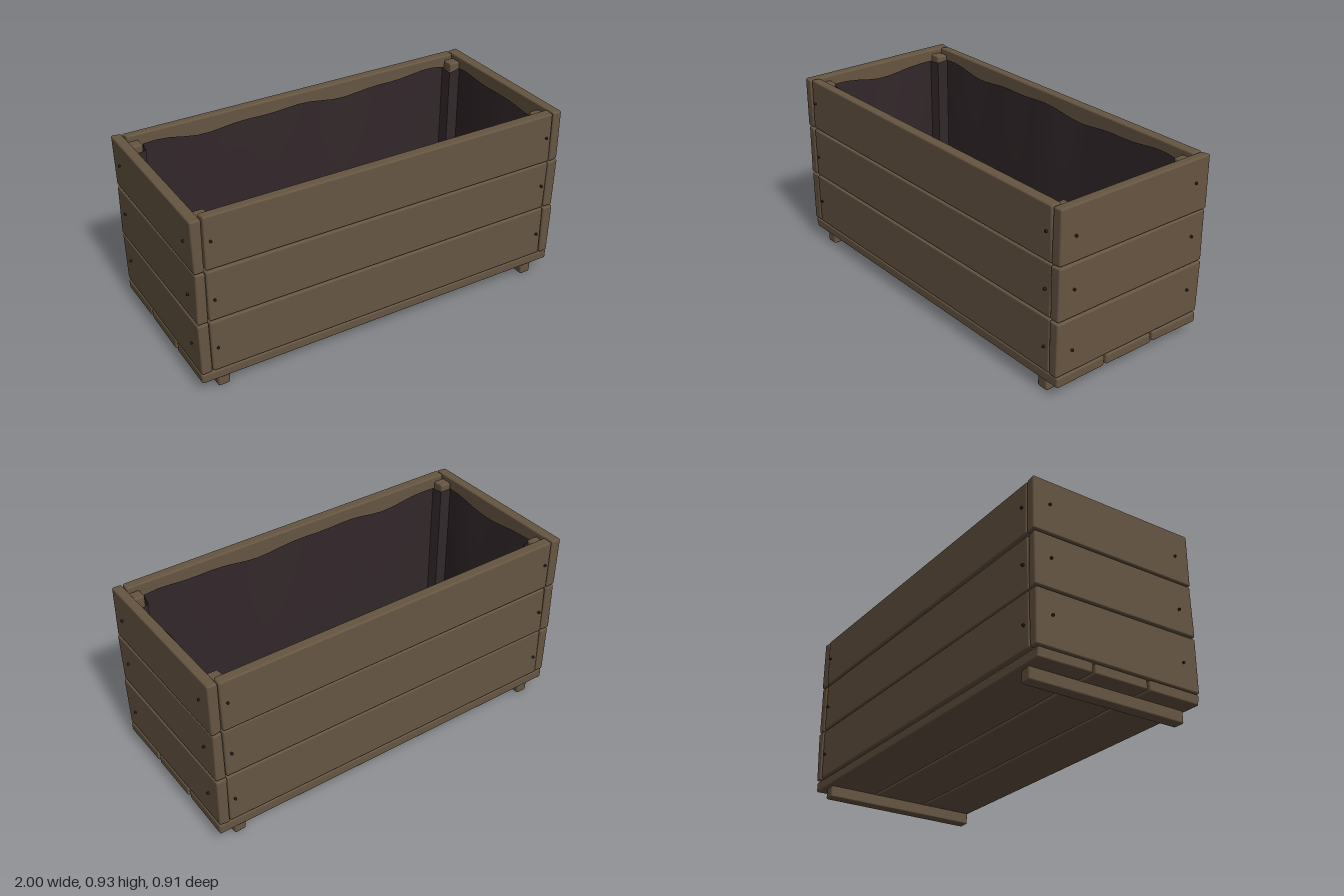
import * as THREE from 'three';
import { toCreasedNormals } from 'three/addons/utils/BufferGeometryUtils.js';
import { RoundedBoxGeometry } from 'three/addons/geometries/RoundedBoxGeometry.js';

const wood = new THREE.MeshStandardMaterial({ color: 0x665542 });
const lining = new THREE.MeshStandardMaterial({ color: 0x32272a, side: THREE.DoubleSide });
const metal = new THREE.MeshStandardMaterial({ color: 0x2a231d });
wood.name = 'weathered wood';
lining.name = 'dark lining';
metal.name = 'nail metal';

export function createModel() {
  const model = new THREE.Group();
  model.name = 'planterBox';

  let seed = 7;
  const rand = () => {
    seed = (seed * 16807) % 2147483647;
    return seed / 2147483647 - 0.5;
  };

  // Board given by its min and max corners, each corner nudged a little so it looks hand cut
  function board(name, x0, x1, y0, y1, z0, z1, wobble = 0.006) {
    const geo = new RoundedBoxGeometry(x1 - x0, y1 - y0, z1 - z0, 2, 0.009);
    const nudge = Array.from({ length: 8 }, () => [rand(), rand(), rand()]);
    const p = geo.attributes.position;
    for (let i = 0; i < p.count; i++) {
      const k = (p.getX(i) > 0 ? 1 : 0) + (p.getY(i) > 0 ? 2 : 0) + (p.getZ(i) > 0 ? 4 : 0);
      const n = nudge[k];
      p.setXYZ(i, p.getX(i) + n[0] * wobble, p.getY(i) + n[1] * wobble, p.getZ(i) + n[2] * wobble);
    }
    const mesh = new THREE.Mesh(geo, wood);
    mesh.name = name;
    mesh.position.set((x0 + x1) / 2, (y0 + y1) / 2, (z0 + z1) / 2);
    model.add(mesh);
  }

  // Nail head with its axis along x or z
  const nailGeo = new THREE.CylinderGeometry(0.006, 0.007, 0.014, 8);
  function nail(x, y, z, alongX) {
    const mesh = new THREE.Mesh(nailGeo, metal);
    mesh.name = 'nail';
    mesh.position.set(x, y, z);
    if (alongX) mesh.rotation.z = -Math.sign(x) * Math.PI / 2;
    else mesh.rotation.x = Math.sign(z) * Math.PI / 2;
    model.add(mesh);
  }

  // Three rows of wall boards
  const rows = [[0.119, 0.389], [0.395, 0.657], [0.663, 0.93]];
  for (const [y0, y1] of rows) {
    const mid = (y0 + y1) / 2;
    for (const s of [-1, 1]) {
      const zc = s * 0.417, xc = s * 0.965;
      board(s > 0 ? 'frontBoard' : 'backBoard', -0.936, 0.936, y0, y1, zc - 0.026, zc + 0.026);
      board(s > 0 ? 'leftEndBoard' : 'rightEndBoard', xc - 0.026, xc + 0.026, y0, y1, -0.444, 0.444);
      for (const t of [-1, 1]) {
        nail(s * 0.993, mid + rand() * 0.04, t * 0.36, true);
        nail(t * 0.905, mid + rand() * 0.04, s * 0.446, false);
      }
    }
  }

  // Floor slats and the two runners below them
  for (const [z0, z1] of [[-0.437, -0.152], [-0.14, 0.143], [0.156, 0.44]]) {
    board('floorSlat', -0.99, 0.99, 0.063, 0.115, z0, z1, 0.004);
  }
  for (const s of [-1, 1]) {
    board('runner', s * 0.875 - 0.03, s * 0.875 + 0.03, 0, 0.063, -0.42, 0.422, 0.003);
    // Corner posts
    for (const t of [-1, 1]) {
      board('cornerPost', s * 0.909 - 0.031, s * 0.909 + 0.031, 0.115, 0.905,
        t * 0.36 - 0.031, t * 0.36 + 0.031, 0.003);
    }
  }

  // Lining outline: a rectangle with a notch around each corner post
  const corners = [
    [0.928, -0.315], [0.928, 0.315], [0.87, 0.322], [0.862, 0.38],
    [-0.862, 0.38], [-0.87, 0.322], [-0.928, 0.315],
    [-0.928, -0.315], [-0.87, -0.322], [-0.862, -0.38],
    [0.862, -0.38], [0.87, -0.322],
  ];
  const outline = [];
  corners.forEach(([ax, az], i) => {
    const [bx, bz] = corners[(i + 1) % corners.length];
    const steps = Math.max(1, Math.round(Math.hypot(bx - ax, bz - az) / 0.07));
    for (let k = 0; k < steps; k++) {
      const t = k / steps;
      outline.push([ax + (bx - ax) * t, az + (bz - az) * t, Math.sin(Math.PI * t)]);
    }
  });

  // Rings from the wavy rim down to the floor, sagging inward along each wall
  const levels = 6, n = outline.length, pos = [], index = [];
  for (let l = 0; l <= levels; l++) {
    const d = l / levels;
    outline.forEach(([x, z, m], i) => {
      const wave = Math.sin(i * 0.55) + 0.6 * Math.sin(i * 1.13 + 1);
      const rim = 0.87 + 0.013 * wave;
      const sag = m * (0.012 + 0.022 * Math.sin(d * Math.PI / 2) + 0.006 * wave * (1 - d));
      const onEnd = Math.abs(x) > 0.9;
      pos.push(onEnd ? x - Math.sign(x) * sag : x, rim + (0.125 - rim) * d,
        onEnd ? z : z - Math.sign(z) * sag);
    });
  }
  pos.push(0, 0.125, 0);
  for (let i = 0; i < n; i++) {
    const j = (i + 1) % n;
    for (let l = 0; l < levels; l++) {
      const a = l * n + i, b = l * n + j;
      index.push(a, b, a + n, b, b + n, a + n);
    }
    index.push(levels * n + i, levels * n + j, (levels + 1) * n);
  }
  const liningGeo = new THREE.BufferGeometry();
  liningGeo.setAttribute('position', new THREE.Float32BufferAttribute(pos, 3));
  liningGeo.setIndex(index);
  const liner = new THREE.Mesh(toCreasedNormals(liningGeo, 0.8), lining);
  liner.name = 'lining';
  model.add(liner);

  return model;
}
